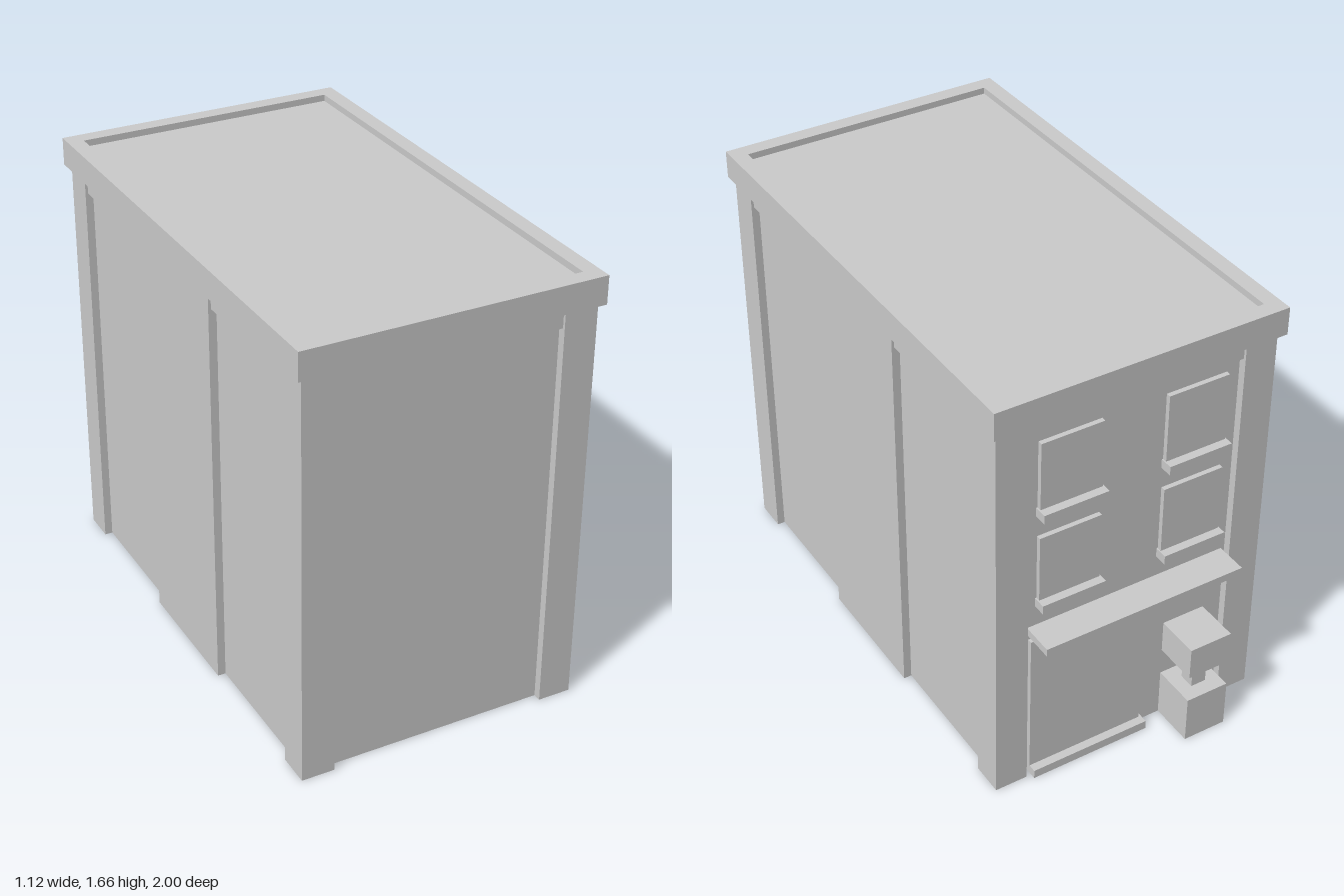
import * as THREE from 'three';

const CZ = 0.06;          // depth centre of the main block
const WALL_TOP = 1.56;
const BACK = -0.83;       // plane of the recessed back wall

export function createModel() {
  const group = new THREE.Group();
  const grey = new THREE.MeshStandardMaterial({ color: 0xcccccc, flatShading: true });
  const thin = new THREE.MeshStandardMaterial({ color: 0xcccccc, flatShading: true, side: THREE.DoubleSide });

  const add = (name, geometry, material = grey) => {
    const mesh = new THREE.Mesh(geometry, material);
    mesh.name = name;
    group.add(mesh);
    return mesh;
  };
  // Box given by its min and max on each axis
  const box = (name, x0, x1, y0, y1, z0, z1) =>
    add(name, new THREE.BoxGeometry(x1 - x0, y1 - y0, z1 - z0))
      .position.set((x0 + x1) / 2, (y0 + y1) / 2, (z0 + z1) / 2);

  // Walls: open shell following a plan with corner piers and a wide pier on each side
  const quarter = [[0.415, 0.89], [0.415, 0.92], [0.54, 0.92], [0.54, 0.795],
    [0.51, 0.795], [0.51, 0.26], [0.54, 0.26]];
  const half = [...quarter, ...quarter.map(([x, z]) => [x, -z]).reverse()];
  const plan = [...half, ...half.map(([x, z]) => [-x, z]).reverse()];
  const positions = [];
  plan.forEach(([ax, az], i) => {
    const [bx, bz] = plan[(i + 1) % plan.length];
    const a0 = [ax, 0, az + CZ], a1 = [ax, WALL_TOP, az + CZ];
    const b0 = [bx, 0, bz + CZ], b1 = [bx, WALL_TOP, bz + CZ];
    positions.push(...a0, ...b0, ...b1, ...a0, ...b1, ...a1);
  });
  const walls = new THREE.BufferGeometry();
  walls.setAttribute('position', new THREE.Float32BufferAttribute(positions, 3));
  walls.computeVertexNormals();
  add('walls', walls, thin);

  // Header strips at the top of each recessed panel
  const H0 = 1.49, H1 = 1.556;
  box('frontHeader', -0.415, 0.415, H0, H1, CZ + 0.885, CZ + 0.91);
  box('backHeader', -0.415, 0.415, H0, H1, CZ - 0.91, CZ - 0.885);
  for (const s of [-1, 1]) {
    for (const zc of [CZ + 0.5275, CZ - 0.5275]) {
      const x = s * 0.5175;
      box('sideHeader', x - 0.0125, x + 0.0125, H0, H1, zc - 0.2675, zc + 0.2675);
    }
  }

  // Cornice ring with the sunken roof inside it
  const rect = (path, w, d) => {
    path.moveTo(-w, -d);
    path.lineTo(w, -d);
    path.lineTo(w, d);
    path.lineTo(-w, d);
    path.closePath();
    return path;
  };
  const ring = rect(new THREE.Shape(), 0.56, 0.9425);
  ring.holes.push(rect(new THREE.Path(), 0.5, 0.8825));
  const cornice = new THREE.ExtrudeGeometry(ring, { depth: 0.105, bevelEnabled: false });
  cornice.rotateX(-Math.PI / 2);
  add('cornice', cornice).position.set(0, 1.555, 0.0575);
  box('roof', -0.5, 0.5, 1.555, 1.635, -0.825, 0.94);

  // Back windows with sills, two rows of two
  for (const xc of [-0.245, 0.245]) {
    for (const sill of [1.145, 0.76]) {
      box('window', xc - 0.12, xc + 0.12, sill + 0.03, sill + 0.3, BACK - 0.018, BACK + 0.01);
      box('windowSill', xc - 0.125, xc + 0.125, sill, sill + 0.035, BACK - 0.05, BACK + 0.01);
    }
  }

  // Shop window, its base and the canopy above
  box('shopWindow', -0.07, 0.395, 0.03, 0.62, BACK - 0.018, BACK + 0.01);
  box('shopWindowBase', -0.08, 0.395, 0, 0.035, BACK - 0.05, BACK + 0.01);
  box('canopy', -0.4, 0.4, 0.645, 0.675, -0.955, BACK + 0.01);

  // Potted tree beside the entrance
  box('planter', -0.34, -0.17, 0, 0.19, -1, BACK);
  box('treeTrunk', -0.285, -0.225, 0.19, 0.3, -0.945, -0.885);
  box('treeCrown', -0.34, -0.17, 0.3, 0.43, -1, BACK);

  return group;
}
